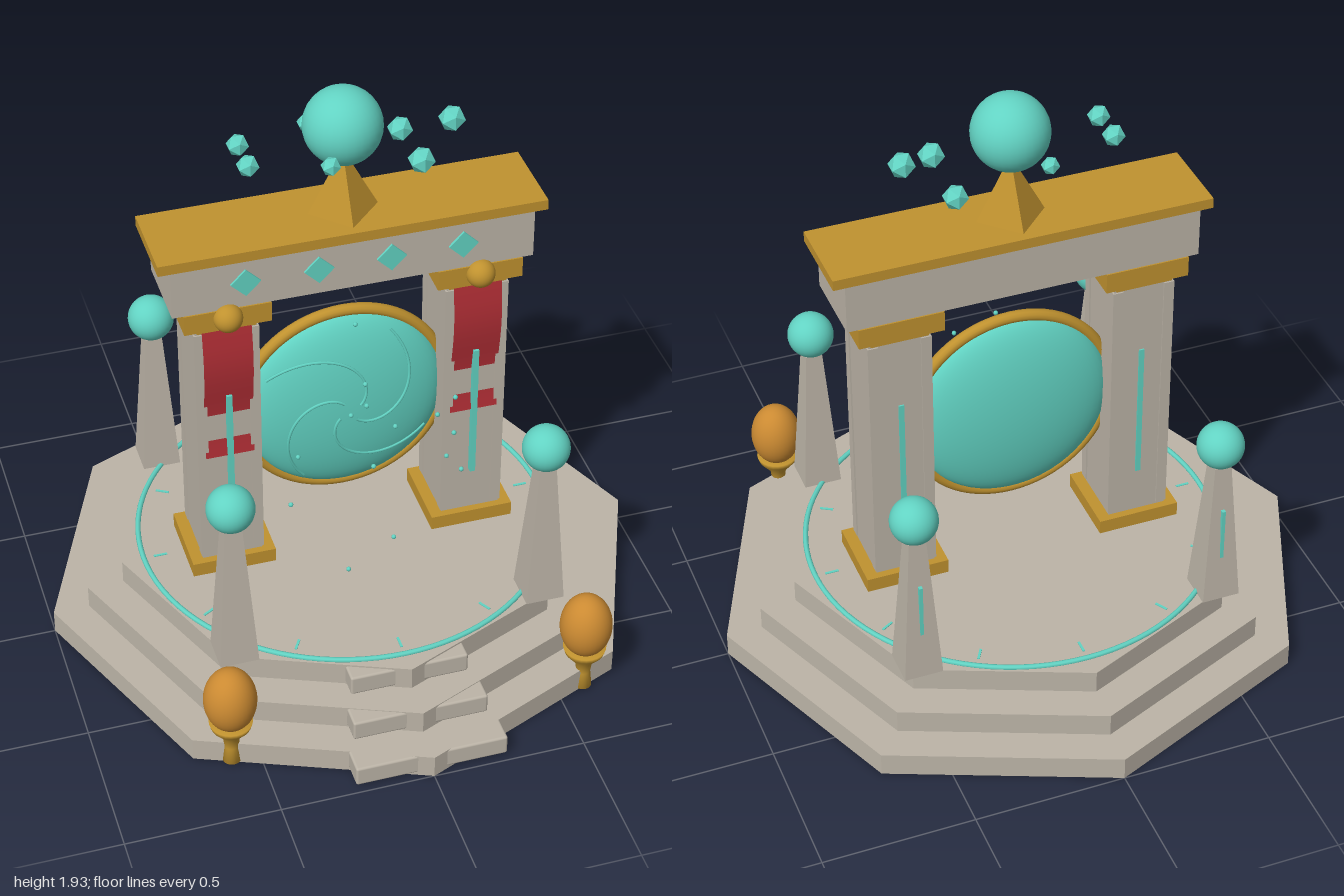
import * as THREE from 'three';
import { RoundedBoxGeometry } from 'three/addons/geometries/RoundedBoxGeometry.js';

const mat = (name, color, side = THREE.FrontSide) => {
  const m = new THREE.MeshStandardMaterial({ color, side });
  m.name = name;
  return m;
};

// Faceted normals for low-sided solids
function facet(geometry) {
  const g = geometry.toNonIndexed();
  g.computeVertexNormals();
  return g;
}

export function createModel() {
  const stone = mat('stone', 0xbcb4a7);
  const gold = mat('gold', 0xc0922f);
  const teal = mat('teal crystal', 0x62d3c3);
  const red = mat('red cloth', 0xb02e35, THREE.DoubleSide);
  const amber = mat('amber', 0xcb8a32);
  const model = new THREE.Group();
  model.name = 'portalShrine';

  const add = (name, geometry, material, x = 0, y = 0, z = 0, parent = model) => {
    const mesh = new THREE.Mesh(geometry, material);
    mesh.name = name;
    mesh.position.set(x, y, z);
    parent.add(mesh);
    return mesh;
  };
  const box = (name, material, w, h, d, x, y, z, parent) =>
    add(name, new THREE.BoxGeometry(w, h, d), material, x, y, z, parent);
  const ball = (name, material, r, x, y, z, parent) =>
    add(name, new THREE.SphereGeometry(r, 32, 20), material, x, y, z, parent);

  // Octagonal tiers, each with a stair block at the front
  [1, 0.88, 0.76].forEach((r, i) => {
    add('tier', facet(new THREE.CylinderGeometry(r, r, 0.08, 8)), stone, 0, 0.04 + i * 0.08, 0);
    add('stairBlock', new RoundedBoxGeometry(0.5 - i * 0.055, 0.07, 0.16, 2, 0.008), stone,
      0, 0.045 + i * 0.077, 0.9 - i * 0.12);
  });

  // Glowing floor ring and its tick marks
  add('floorRing', new THREE.TorusGeometry(0.687, 0.009, 8, 96), teal, 0, 0.243, 0).rotation.x = Math.PI / 2;
  for (let i = 0; i < 12; i++) {
    const a = (i * Math.PI) / 6;
    box('floorTick', teal, 0.008, 0.006, 0.045, Math.sin(a) * 0.63, 0.24, Math.cos(a) * 0.63).rotation.y = a;
  }

  // Wavy banner cloth, dipping into the pillar near its lower end
  const cloth = new THREE.PlaneGeometry(0.16, 0.5, 1, 40);
  const p = cloth.attributes.position;
  for (let i = 0; i < p.count; i++) {
    p.setZ(i, 0.1197 + 0.012 * Math.cos(((p.getY(i) + 0.96 - 1.075) * Math.PI * 2) / 0.5));
  }
  cloth.computeVertexNormals();

  // Pillars
  for (const s of [-1, 1]) {
    const pillar = new THREE.Group();
    pillar.name = s > 0 ? 'leftPillar' : 'rightPillar';
    pillar.position.x = s * 0.41;
    model.add(pillar);
    box('pillarBase', gold, 0.28, 0.05, 0.27, 0, 0.265, 0, pillar);
    box('pillarShaft', stone, 0.2, 0.93, 0.22, 0, 0.75, 0, pillar);
    for (const x of [-1, 1]) for (const z of [-1, 1]) {
      box('cornerStrip', stone, 0.035, 0.9, 0.035, x * 0.0875, 0.75, z * 0.0975, pillar);
    }
    box('pillarNeck', gold, 0.19, 0.025, 0.235, 0, 1.22, 0, pillar);
    box('capital', gold, 0.28, 0.07, 0.28, 0, 1.265, 0, pillar);
    ball('capitalBall', gold, 0.047, 0, 1.27, 0.14, pillar);
    add('banner', cloth, red, 0, 0.96, 0, pillar);
    box('frontLightStrip', teal, 0.018, 0.5, 0.03, 0, 0.705, 0.115, pillar);
    box('backLightStrip', teal, 0.018, 0.5, 0.02, 0, 0.705, -0.105, pillar);
  }

  // Lintel with diamond inlays and gold slab
  box('lintel', stone, 1.17, 0.17, 0.27, 0, 1.385, 0);
  box('lintelSlab', gold, 1.25, 0.035, 0.285, 0, 1.488, 0);
  for (let i = 0; i < 4; i++) {
    box('diamondInlay', teal, 0.068, 0.068, 0.009, -0.351 + i * 0.234, 1.39, 0.138).rotation.z = Math.PI / 4;
  }

  // Finial and crown of floating crystals
  add('finial', facet(new THREE.ConeGeometry(0.115, 0.22, 4)), gold, 0, 1.613, 0);
  ball('crownOrb', teal, 0.125, 0, 1.81, 0);
  const crystalY = [1.77, 1.71, 1.76, 1.76, 1.76, 1.75, 1.69];
  const crystalR = [0.044, 0.044, 0.032, 0.037, 0.037, 0.03, 0.042];
  crystalY.forEach((y, i) => {
    const a = (i * Math.PI * 2) / 7;
    add('floatingCrystal', new THREE.IcosahedronGeometry(crystalR[i]), teal,
      Math.cos(a) * 0.35, y, Math.sin(a) * 0.138);
  });

  // Portal: gold rim, lens and spiral ridges
  const portal = new THREE.Group();
  portal.name = 'portal';
  portal.position.y = 0.77;
  model.add(portal);
  add('portalRim', new THREE.TorusGeometry(0.343, 0.02, 12, 72), gold, 0, 0, 0, portal);
  const depth = 0.09, radius = 0.338;
  add('portalLens', new THREE.SphereGeometry(radius, 48, 32), teal, 0, 0, 0, portal).scale.z = depth / radius;
  for (let arm = 0; arm < 4; arm++) {
    const points = [];
    for (let i = 0; i <= 24; i++) {
      const t = i / 24, r = 0.04 + 0.265 * t;
      const a = (arm * Math.PI) / 2 - 2.6 + 2.1 * t;
      points.push(new THREE.Vector3(Math.cos(a) * r, Math.sin(a) * r,
        depth * Math.sqrt(1 - (r / radius) ** 2) + 0.001));
    }
    add('spiralRidge', new THREE.TubeGeometry(new THREE.CatmullRomCurve3(points), 48, 0.005, 6), teal, 0, 0, 0, portal);
  }

  // Corner obelisks topped with orbs
  const obelisk = facet(new THREE.CylinderGeometry(0.04, 0.09, 0.52, 4).rotateY(Math.PI / 4));
  for (const x of [-0.513, 0.513]) for (const z of [-0.513, 0.513]) {
    add('obelisk', obelisk, stone, x, 0.5, z);
    ball('obeliskOrb', teal, 0.077, x, 0.83, z);
    if (z < 0) box('obeliskLightStrip', teal, 0.012, 0.24, 0.015, x, 0.475, z - 0.045);
  }

  // Braziers flanking the stairs
  const stand = [[0, 0], [0.03, 0], [0.023, 0.06], [0.028, 0.1], [0.064, 0.145], [0.07, 0.165], [0, 0.165]]
    .map(([r, y]) => new THREE.Vector2(r, y));
  for (const s of [-1, 1]) {
    add('brazierStand', new THREE.LatheGeometry(stand, 24), gold, s * 0.59, 0.005, 0.745);
    ball('brazierFlame', amber, 0.085, s * 0.59, 0.262, 0.745).scale.y = 1.35;
  }

  // Drifting motes
  [[-0.01, 1.18, 0.17], [-0.02, 1.05, 0.31], [-0.04, 1.03, 0.39], [-0.06, 0.92, 0.29], [0.08, 0.86, 0.31],
    [0.23, 0.85, 0.28], [-0.29, 0.7, 0.4], [-0.22, 0.75, 0.24], [-0.07, 0.29, 0.3], [0.31, 0.56, 0.15],
    [0.08, 0.4, 0.31], [0.24, 0.79, 0.49], [0.23, 0.9, 0.44], [-0.07, 0.93, 0.56], [0.21, 1.09, 0.5],
  ].forEach(([x, y, z]) => add('mote', new THREE.SphereGeometry(0.008, 8, 6), teal, x, y, z));

  return model;
}
